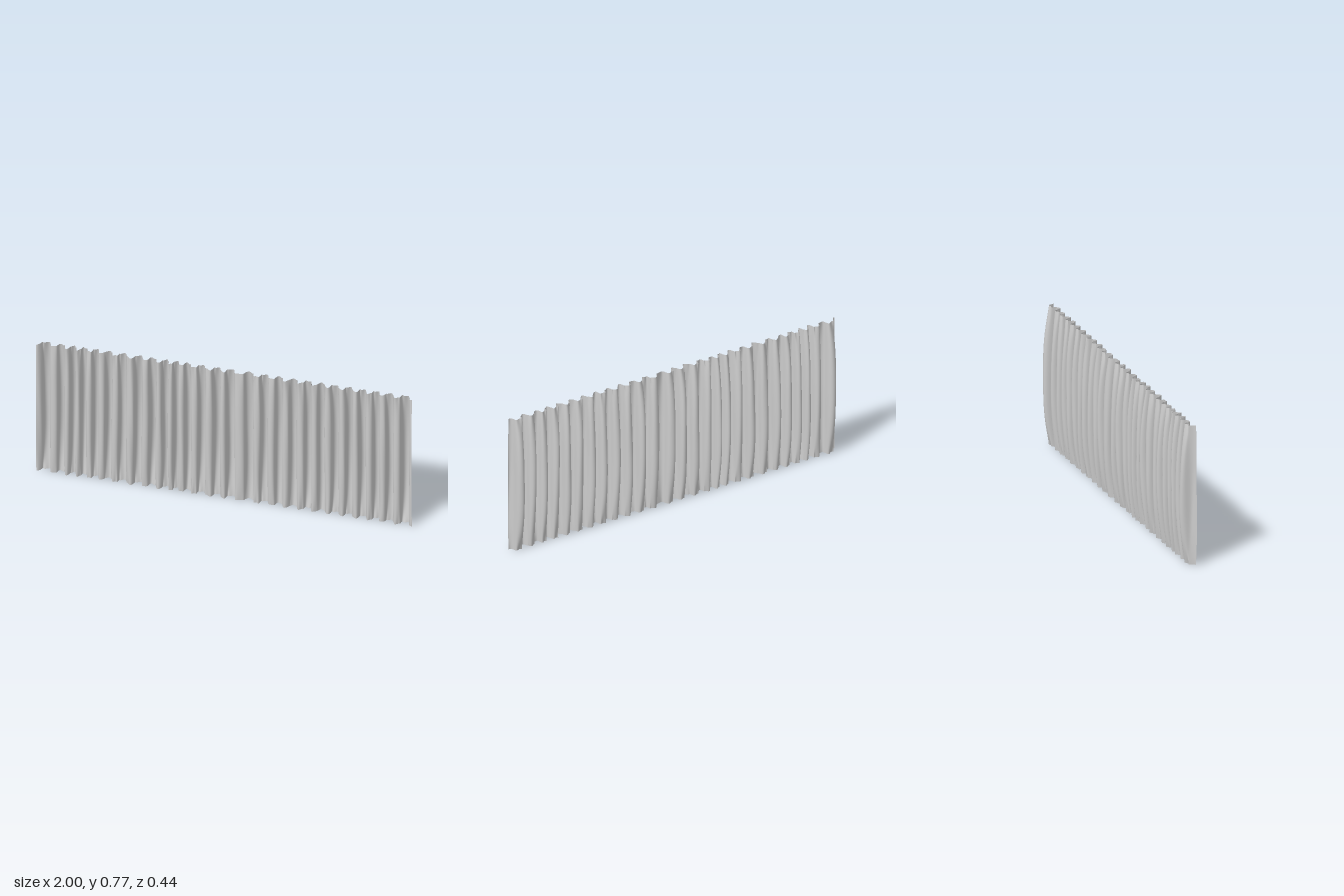
import * as THREE from 'three';

const HEIGHT = 0.77;

// Position along the rail of each rearward pleat; the outer two lie beyond the cloth
const pleats = [-1.045, -0.957, -0.872, -0.813, -0.759, -0.695, -0.626, -0.551, -0.465, -0.39,
  -0.321, -0.267, -0.203, -0.128, -0.048, 0.021, 0.128, 0.203, 0.283, 0.358, 0.439,
  0.508, 0.583, 0.658, 0.727, 0.802, 0.872, 0.952, 1.045];

// Small repeatable variation for each pleat
const vary = (i, k) => {
  const v = Math.sin(i * 127.1 + k * 311.7) * 43758.5453;
  return (v - Math.floor(v)) * 2 - 1;
};
const mix = (a, b, t) => a + (b - a) * t;

// Place a point of the cloth: s runs along the rail (-1..1), y is the height
function drape(s, y) {
  let i = 0;
  while (i < pleats.length - 2 && s >= pleats[i + 1]) i++;
  const width = pleats[i + 1] - pleats[i];
  const t = (s - pleats[i]) / width;
  const blend = t * t * (3 - 2 * t);
  const each = (k) => mix(vary(i, k), vary(i + 1, k), blend);

  const edge = Math.abs(2 * y / HEIGHT - 1);      // 1 at both hems, 0 halfway
  const belly = 1 - Math.pow(edge, 2.5);
  const gather = Math.pow(edge, 5);

  // Main pleat, wandering slightly with height
  const wander = 0.22 * each(1) * Math.sin(y * 7 + 3 * each(2)) + 0.35 * gather * each(3);
  const phase = 2 * Math.PI * t + wander;
  const wave = Math.cos(phase);
  const endPleat = Math.abs(s) > 0.91 ? 0.009 : 0;
  const back = mix(0.009, 0.038 + endPleat, belly) * (1 + 0.12 * each(4));
  const front = mix(0.025, 0.031, belly) * (1 + 0.12 * each(5));
  let out = wave > 0 ? -back * wave : -front * wave;

  // Fine crumpling where the cloth is gathered at the hems
  out += gather * 0.005 * Math.sin(3 * phase + 4 * each(6));
  out += 0.0015 * Math.sin(2 * phase + y * 9 + 5 * each(7));

  // Rounded, overhanging pleat sides
  const fade = Math.min(1, (1 - Math.abs(s)) / 0.03);
  const x = s + fade * Math.sin(2 * phase) * width * mix(0.05, 0.085, belly);
  const railZ = mix(0.195, -0.18, (x + 1) / 2);
  return [THREE.MathUtils.clamp(x + out * 0.19 * fade, -1, 1), y, railZ + out];
}

export function createModel() {
  const group = new THREE.Group();
  group.name = 'pleatedCurtain';

  // One thin sheet, folded along its width
  const cloth = new THREE.PlaneGeometry(2, HEIGHT, 640, 44);
  const p = cloth.attributes.position;
  for (let i = 0; i < p.count; i++) {
    const y = THREE.MathUtils.clamp(p.getY(i) + HEIGHT / 2, 0, HEIGHT);
    p.setXYZ(i, ...drape(p.getX(i), y));
  }
  cloth.computeVertexNormals();

  const curtain = new THREE.Mesh(cloth, new THREE.MeshStandardMaterial({
    color: 0xcccccc, side: THREE.DoubleSide,
  }));
  curtain.name = 'curtainCloth';
  group.add(curtain);
  return group;
}
